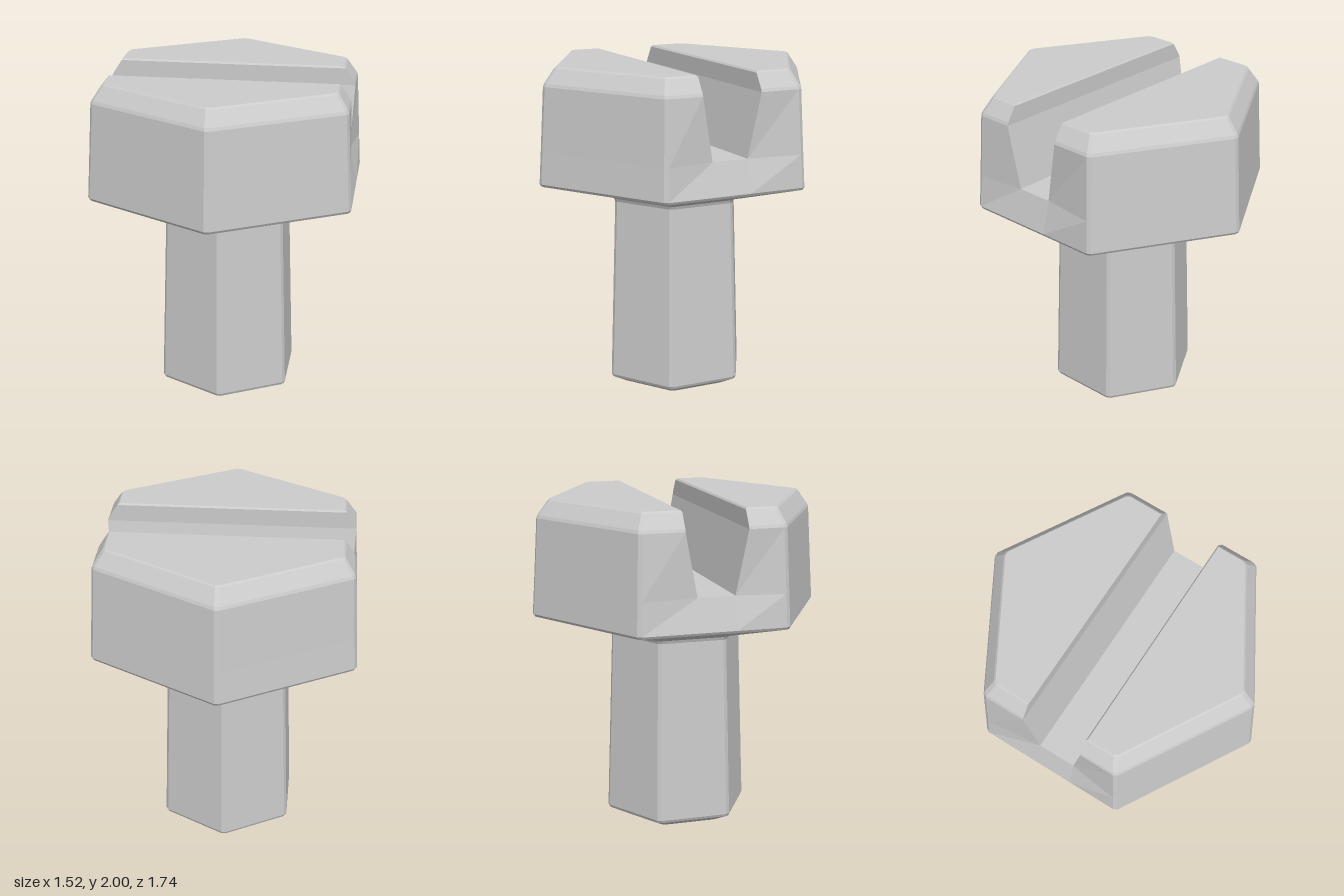
import * as THREE from 'three';

const COS30 = Math.cos(Math.PI / 6);
const EDGE = 0.015;

// Skin between rings of [x, y, z] points (counter-clockwise from above, bottom to top).
function loft(rings, capBottom, capTop) {
  const pos = [];
  const tri = (a, b, c) => pos.push(...a, ...b, ...c);
  const n = rings[0].length;
  for (let k = 0; k < rings.length - 1; k++) {
    const lo = rings[k], hi = rings[k + 1];
    for (let i = 0; i < n; i++) {
      const j = (i + 1) % n;
      tri(lo[i], lo[j], hi[j]);
      tri(lo[i], hi[j], hi[i]);
    }
  }
  const first = rings[0], last = rings[rings.length - 1];
  for (let i = 1; i < n - 1; i++) {
    if (capBottom) tri(first[0], first[i + 1], first[i]);
    if (capTop) tri(last[0], last[i], last[i + 1]);
  }
  const geo = new THREE.BufferGeometry();
  geo.setAttribute('position', new THREE.Float32BufferAttribute(pos, 3));
  geo.computeVertexNormals();
  return geo;
}

// The two points of a narrowly bevelled hexagon corner; corner 0 points to +z.
function hexCorner(i, r, y) {
  const at = (k) => [r * Math.sin(k * Math.PI / 3), r * Math.cos(k * Math.PI / 3)];
  const p = at(i), t = Math.min(EDGE / r, 0.2);
  return [at(i - 1), at(i + 1)].map((q) => [p[0] + (q[0] - p[0]) * t, y, p[1] + (q[1] - p[1]) * t]);
}

const hexRing = ([y, r]) => [0, 1, 2, 3, 4, 5].flatMap((i) => hexCorner(i, r, y));

// Half of the hexagon, cut off at z = cut, with the cut ends at x = +-end.
const halfRing = ([y, r, cut, end]) => [
  [-end, y, cut],
  ...[-1, 0, 1].flatMap((i) => hexCorner(i, r, y)),
  [end, y, cut],
];

export function createModel() {
  const group = new THREE.Group();
  const material = new THREE.MeshStandardMaterial({ color: 0xcccccc, flatShading: true });
  const add = (name, geo) => {
    const mesh = new THREE.Mesh(geo, material);
    mesh.name = name;
    group.add(mesh);
    return mesh;
  };

  // Tapered hexagonal shaft with a blunt pointed tip
  add('shaft', loft([
    [0, 0.002], [0.045, 0.325], [0.053, 0.345], [0.092, 0.427], [0.108, 0.435], [1.18, 0.4],
  ].map(hexRing), true, false));

  // Flared underside of the head
  add('headUnderside', loft([
    [1.18, 0.4], [1.198, 0.408], [1.207, 0.43], [1.315, 0.865], [1.33, 0.875],
  ].map(hexRing), false, false));

  // Two halves of the head, either side of the slightly off-centre slot
  const halves = [['headFront', 0.13, 0.2, 0], ['headBack', 0.09, 0.165, Math.PI]];
  for (const [name, low, high, turn] of halves) {
    add(name, loft([
      [1.33, 0.875, low, 0.875 * COS30],
      [1.52, 0.863, low, 0.71],
      [1.89, 0.841, high, 0.841 * COS30],
      [1.908, 0.833, high, 0.833 * COS30],
      [1.99, 0.772, high, 0.772 * COS30],
      [2, 0.76, high + 0.008, 0.76 * COS30],
    ].map(halfRing), false, true)).rotation.y = turn;
  }

  // Slot floor with its sloping ends
  const floorRing = (y, x) => [[-x, y, -0.09], [-x, y, 0.13], [x, y, 0.13], [x, y, -0.09]];
  add('slotFloor', loft([floorRing(1.33, 0.875 * COS30), floorRing(1.52, 0.71)], false, true));

  return group;
}
